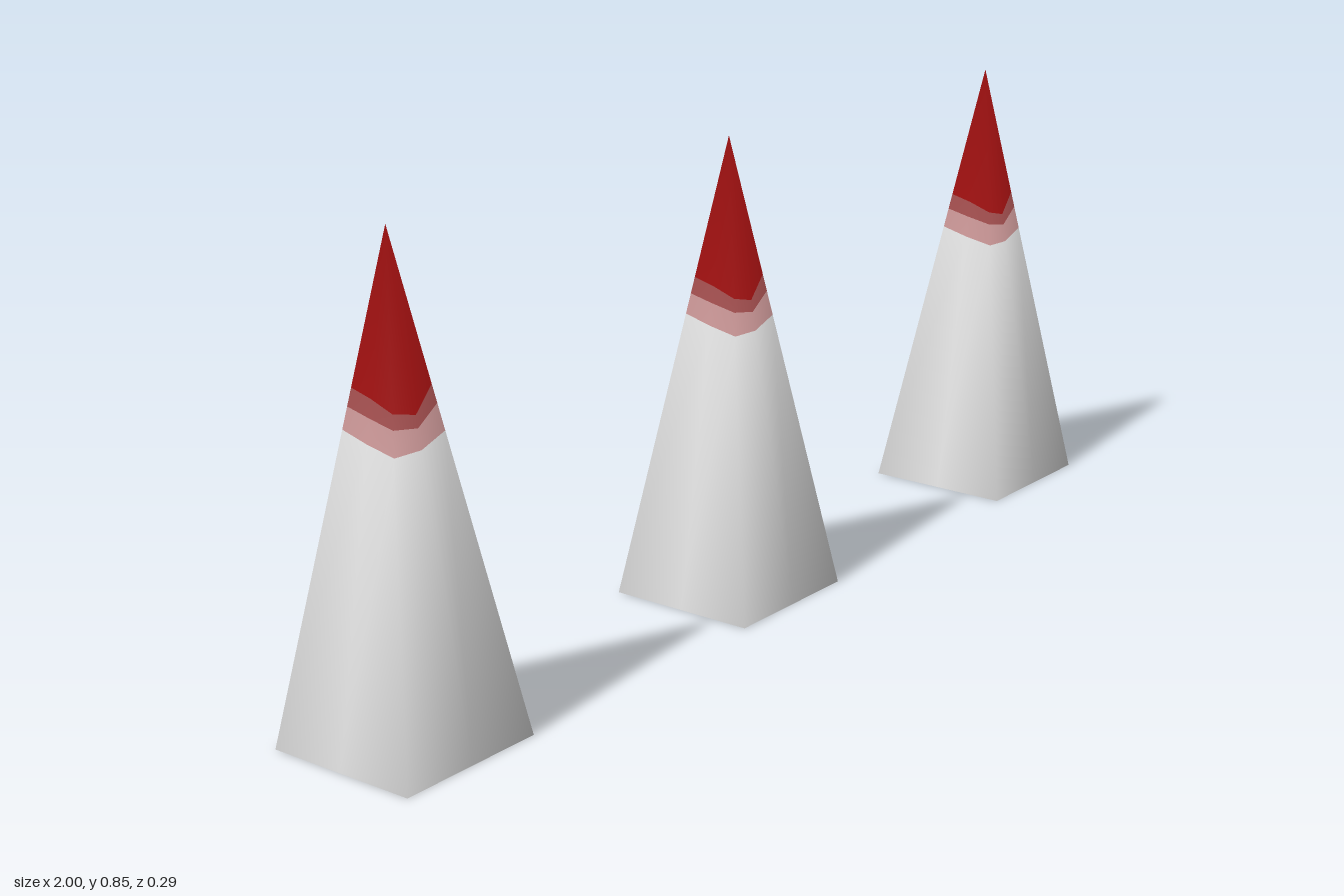
import * as THREE from 'three';

const HEIGHT = 0.85, HALF = 0.145, SPACING = 0.855;

// Square outline, anticlockwise from above: corners and edge middles.
const RING = [[1, 1], [1, 0], [1, -1], [0, -1], [-1, -1], [-1, 0], [-1, 1], [0, 1]];

// Wavy heights of the paint borders along the outline.
const level = (y) => RING.map(() => y);
const PALE = [0.52, 0.528, 0.548, 0.532, 0.528, 0.515, 0.505, 0.503];
const MID = [0.565, 0.573, 0.592, 0.573, 0.565, 0.555, 0.546, 0.537];
const TIP = [0.596, 0.605, 0.625, 0.605, 0.595, 0.585, 0.57, 0.558];

const material = (name, color) => {
  const m = new THREE.MeshStandardMaterial({ color });
  m.name = name;
  return m;
};

// Sloped band between two borders; normals blend from the corners to straight up at the tip.
function band(lower, upper) {
  const pos = [], nor = [], idx = [], n = RING.length;
  const length = Math.hypot(1, 0.34, 1);
  for (const heights of [lower, upper]) {
    RING.forEach(([x, z], i) => {
      const t = heights[i] / HEIGHT, r = HALF * (1 - t), k = (1 - t) / length;
      pos.push(x * r, heights[i], z * r);
      nor.push(x * k, 0.34 * k + t, z * k);
    });
  }
  for (let i = 0; i < n; i++) {
    const j = (i + 1) % n;
    idx.push(i, j, n + j, i, n + j, n + i);
  }
  const g = new THREE.BufferGeometry();
  g.setAttribute('position', new THREE.Float32BufferAttribute(pos, 3));
  g.setAttribute('normal', new THREE.Float32BufferAttribute(nor, 3));
  g.setIndex(idx);
  return g;
}

export function createModel() {
  const white = material('light grey', 0xd2d2d2);
  const pale = material('pale red', 0xba8a8a);
  const mid = material('dusty red', 0x964848);
  const red = material('dark red', 0x920e0e);

  const parts = [
    ['body', band(level(0), PALE), white],
    ['paleBand', band(PALE, MID), pale],
    ['middleBand', band(MID, TIP), mid],
    ['tip', band(TIP, level(HEIGHT)), red],
    ['base', new THREE.PlaneGeometry(HALF * 2, HALF * 2).rotateX(Math.PI / 2), white],
  ];

  // Row of three identical spikes.
  const model = new THREE.Group();
  model.name = 'spikeRow';
  ['rightSpike', 'middleSpike', 'leftSpike'].forEach((name, i) => {
    const spike = new THREE.Group();
    spike.name = name;
    spike.position.x = (i - 1) * SPACING;
    for (const [part, geometry, mat] of parts) {
      const mesh = new THREE.Mesh(geometry, mat);
      mesh.name = part;
      spike.add(mesh);
    }
    model.add(spike);
  });
  return model;
}
